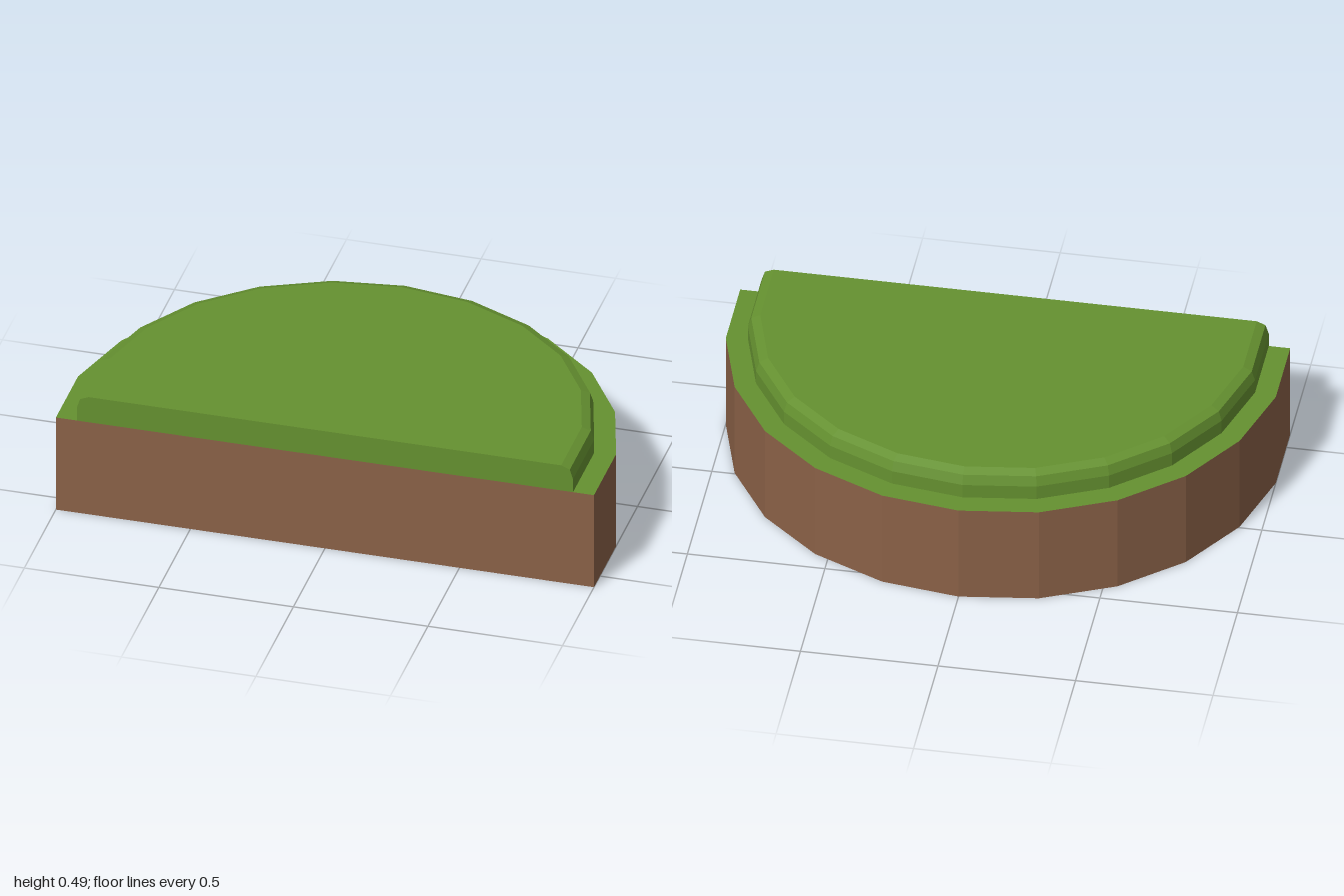
import * as THREE from 'three';

const FRONT = 0.58; // flat front plane
const PIVOT = 0.45; // centre of the arc, used for insets

// Half outline from the back middle round to the front corner, then mirrored
const half = [[0, -0.58], [0.285, -0.54], [0.55, -0.42], [0.765, -0.235], [0.918, 0.005], [1, 0.285], [1, FRONT]];
const outline = [...half.slice(1).reverse().map(([x, z]) => [-x, z]), ...half];

// One horizontal section: the outline scaled about the pivot, front kept flush
const section = ([y, s]) => outline.map(([x, z]) =>
  new THREE.Vector3(x * s, y, z === FRONT ? FRONT : PIVOT + (z - PIVOT) * s));

// Joins sections [height, scale] from bottom to top, with optional caps
function loft(levels, capBottom, capTop) {
  const rings = levels.map(section);
  const points = [];
  const n = outline.length;
  for (let r = 0; r < rings.length - 1; r++) {
    const lo = rings[r], hi = rings[r + 1];
    for (let i = 0; i < n; i++) {
      const j = (i + 1) % n;
      if (j === 0 && levels[r][0] === levels[r + 1][0]) continue; // no front strip on a flat step
      points.push(lo[i], hi[i], hi[j], lo[i], hi[j], lo[j]);
    }
  }
  const first = rings[0], last = rings[rings.length - 1];
  for (let i = 1; i < n - 1; i++) {
    if (capBottom) points.push(first[0], first[i], first[i + 1]);
    if (capTop) points.push(last[0], last[i + 1], last[i]);
  }
  const geometry = new THREE.BufferGeometry().setFromPoints(points);
  geometry.computeVertexNormals();
  return geometry;
}

export function createModel() {
  const soilBrown = new THREE.MeshStandardMaterial({ color: 0x8a6147, flatShading: true });
  soilBrown.name = 'soilBrown';
  const grassGreen = new THREE.MeshStandardMaterial({ color: 0x659130, flatShading: true });
  grassGreen.name = 'grassGreen';

  const model = new THREE.Group();
  model.name = 'roundedGroundTile';
  const add = (name, geometry, material) => {
    const mesh = new THREE.Mesh(geometry, material);
    mesh.name = name;
    model.add(mesh);
  };

  // Soil block with a faceted round back
  add('soil', loft([[0, 1], [0.385, 1]], true, false), soilBrown);
  // Green ledge around the turf
  add('grassLedge', loft([[0.385, 1], [0.385, 0.922]], false, false), grassGreen);
  // Raised turf with a bevelled rim
  add('turf', loft([[0.385, 0.922], [0.44, 0.922], [0.477, 0.91], [0.49, 0.878]], false, true), grassGreen);
  return model;
}
